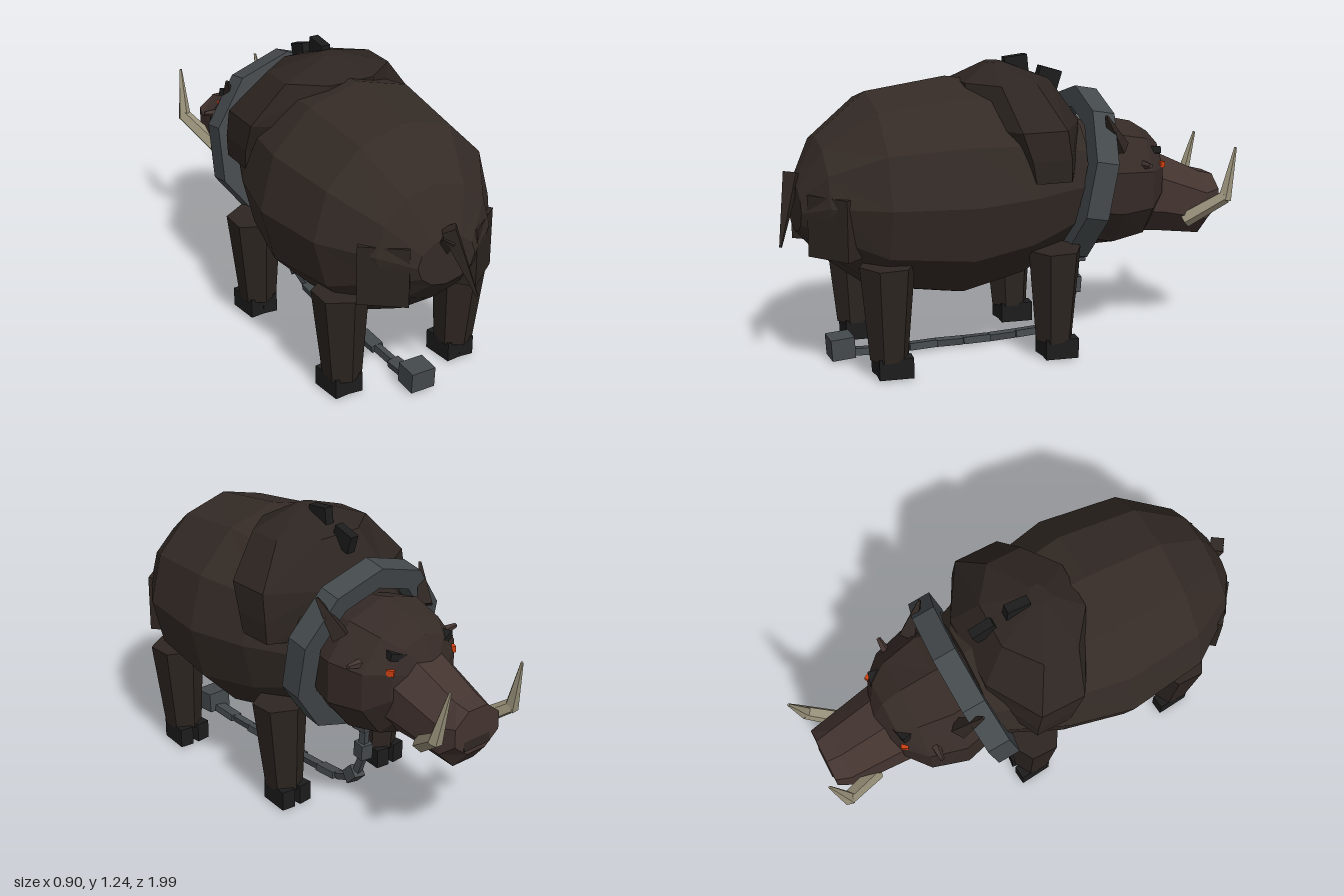
import * as THREE from 'three';

const mat = (color, side = THREE.FrontSide) =>
  new THREE.MeshStandardMaterial({ color, flatShading: true, roughness: 0.9, side });
const hide = mat(0x342b26), dark = mat(0x2d2521), face = mat(0x362b27), snoutMat = mat(0x433430);
const hoofMat = mat(0x1d1c1c), metal = mat(0x44494c), ivory = mat(0x99917a), red = mat(0xd04010);

// Faceted skin over elliptical rings [z, centreY, radiusX, radiusY], listed from high z to low z
function loft(rings, n, phase = 0) {
  const pos = [], idx = [];
  for (const [z, cy, rx, ry] of rings)
    for (let j = 0; j < n; j++) {
      const a = phase + (j / n) * Math.PI * 2;
      pos.push(Math.cos(a) * rx, cy + Math.sin(a) * ry, z);
    }
  for (let i = 0; i < rings.length - 1; i++)
    for (let j = 0; j < n; j++) {
      const a = i * n + j, b = i * n + (j + 1) % n;
      idx.push(a, a + n, b, b, a + n, b + n);
    }
  const last = (rings.length - 1) * n;
  for (let j = 1; j < n - 1; j++) {
    idx.push(0, j, j + 1);
    idx.push(last, last + j + 1, last + j);
  }
  const g = new THREE.BufferGeometry();
  g.setAttribute('position', new THREE.Float32BufferAttribute(pos, 3));
  g.setIndex(idx);
  g.computeVertexNormals();
  return g;
}

// Tapered prism from point p to point q
function taper(p, q, r0, r1, sides) {
  const a = new THREE.Vector3(...p), b = new THREE.Vector3(...q), d = b.clone().sub(a);
  const g = new THREE.CylinderGeometry(r1, r0, d.length(), sides);
  g.applyQuaternion(new THREE.Quaternion().setFromUnitVectors(new THREE.Vector3(0, 1, 0), d.normalize()));
  return g.translate(...a.add(b).multiplyScalar(0.5).toArray());
}

export function createModel() {
  const model = new THREE.Group();
  model.name = 'chainedBoar';
  const add = (name, geo, material, parent = model) => {
    const m = new THREE.Mesh(geo, material);
    m.name = name;
    parent.add(m);
    return m;
  };
  const box = (name, size, at, material, rot = [0, 0, 0], parent = model) => {
    const m = add(name, new THREE.BoxGeometry(...size), material, parent);
    m.position.set(...at);
    m.rotation.set(...rot);
    return m;
  };
  const group = (name) => {
    const g = new THREE.Group();
    g.name = name;
    model.add(g);
    return g;
  };

  // Barrel body
  add('body', loft([
    [0.91, 0.67, 0.13, 0.1], [0.82, 0.71, 0.26, 0.245], [0.61, 0.715, 0.405, 0.41],
    [0.27, 0.71, 0.45, 0.46], [0.0, 0.715, 0.39, 0.41], [-0.14, 0.72, 0.33, 0.35],
    [-0.28, 0.72, 0.27, 0.27]], 12), hide);

  // Shoulder hump, lofted upwards
  add('shoulderHump', loft([
    [1.22, -0.06, 0.05, 0.04], [1.15, -0.03, 0.26, 0.2], [0.98, 0.03, 0.41, 0.25],
    [0.86, 0.06, 0.415, 0.22], [0.77, 0.07, 0.41, 0.2]], 8, Math.PI / 8).rotateX(-Math.PI / 2), dark);

  // Bristle tufts along the back
  box('frontBristle', [0.04, 0.08, 0.1], [0, 1.14, -0.185], hoofMat, [-0.3, 0, 0]);
  box('backBristle', [0.04, 0.07, 0.1], [0, 1.205, -0.04], hoofMat, [0.1, 0, 0]);

  // Head and snout
  add('head', loft([
    [-0.18, 0.68, 0.24, 0.24], [-0.42, 0.68, 0.31, 0.285], [-0.57, 0.675, 0.265, 0.255],
    [-0.65, 0.7, 0.18, 0.18], [-0.7, 0.72, 0.06, 0.06]], 10, Math.PI / 10), face);
  add('snout', loft([
    [-0.56, 0.64, 0.18, 0.2], [-0.66, 0.625, 0.175, 0.19], [-0.885, 0.555, 0.15, 0.15],
    [-0.95, 0.585, 0.13, 0.1]], 8, Math.PI / 8), snoutMat);
  box('nosePlate', [0.14, 0.08, 0.03], [0, 0.55, -0.935], dark, [0.1, 0, 0]);

  // Paired head features and haunches
  for (const s of [1, -1]) {
    const side = s > 0 ? 'left' : 'right';
    const tusk = group(side + 'Tusk');
    add('tuskRoot', taper([s * 0.13, 0.5, -0.78], [s * 0.21, 0.61, -0.935], 0.036, 0.03, 5), ivory, tusk);
    add('tuskTip', taper([s * 0.21, 0.595, -0.93], [s * 0.195, 0.82, -0.985], 0.03, 0.006, 5), ivory, tusk);
    add(side + 'Ear', taper([s * 0.23, 0.86, -0.42], [s * 0.28, 1.01, -0.335], 0.045, 0.008, 4), dark);
    add(side + 'CheekSpike', taper([s * 0.2, 0.78, -0.53], [s * 0.295, 0.79, -0.535], 0.025, 0.01, 5), snoutMat);
    box(side + 'Eye', [0.03, 0.025, 0.03], [s * 0.165, 0.765, -0.64], red, [0, s * 0.5, 0]);
    box(side + 'Brow', [0.11, 0.03, 0.05], [s * 0.11, 0.815, -0.63], hoofMat, [0, s * -0.25, s * 0.25]);
    box(side + 'Haunch', [0.2, 0.25, 0.14], [s * 0.19, 0.625, 0.775], dark, [0, s * 0.66, 0]);
  }

  // Legs with cloven hooves
  for (const s of [1, -1])
    for (const [end, z] of [['rear', 0.605], ['front', -0.11]]) {
      const leg = group(end + (s > 0 ? 'Left' : 'Right') + 'Leg');
      add('shank', taper([s * 0.27, 0.08, z - 0.005], [s * 0.285, 0.475, z], 0.08, 0.115, 6), dark, leg);
      for (const t of [1, -1])
        box('hoof', [0.062, 0.085, 0.14], [s * 0.27 + t * 0.038, 0.05, z - 0.02], hoofMat, [0, t * -0.1, 0], leg);
    }

  // Tail
  const tail = group('tail');
  add('tailStrand', taper([0, 0.81, 0.915], [0.09, 0.53, 0.99], 0.04, 0.006, 4), dark, tail);
  add('tailRoot', taper([0, 0.7, 0.86], [0, 0.78, 0.93], 0.04, 0.035, 4), dark, tail);

  // Ten-sided iron collar
  const collarProfile = [[0.29, -0.05], [0.38, -0.05], [0.38, 0.05], [0.29, 0.05], [0.29, -0.05]]
    .map(([r, y]) => new THREE.Vector2(r, y));
  const collar = add('collar', new THREE.LatheGeometry(collarProfile, 10).rotateX(Math.PI / 2).rotateZ(Math.PI),
    mat(0x44494c, THREE.DoubleSide));
  collar.position.set(0, 0.715, -0.29);
  collar.rotation.x = -0.19;

  // Chain hanging from the collar and trailing along the ground
  const chain = group('chain');
  const path = [[0.41, -0.31], [0.33, -0.32], [0.26, -0.315], [0.19, -0.31], [0.11, -0.28], [0.06, -0.23],
    [0.03, -0.15], [0.025, -0.04], [0.022, 0.08], [0.022, 0.2], [0.025, 0.32], [0.022, 0.44],
    [0.022, 0.56], [0.03, 0.7]];
  for (let i = 0; i < path.length - 1; i++) {
    const [y0, z0] = path[i], [y1, z1] = path[i + 1];
    const len = Math.hypot(y1 - y0, z1 - z0), wide = i % 2 === 0;
    box('chainLink', [wide ? 0.055 : 0.03, wide && i < 5 ? 0.06 : 0.03, len], [0, (y0 + y1) / 2, (z0 + z1) / 2],
      metal, [Math.atan2(y0 - y1, z1 - z0), 0, wide ? 0.15 : -0.15], chain);
  }
  box('chainAnchor', [0.07, 0.07, 0.075], [0, 0.365, -0.318], metal, [0, 0, 0], chain);
  box('chainWeight', [0.11, 0.09, 0.1], [0, 0.06, 0.735], metal, [0.06, 0, 0], chain);

  return model;
}
